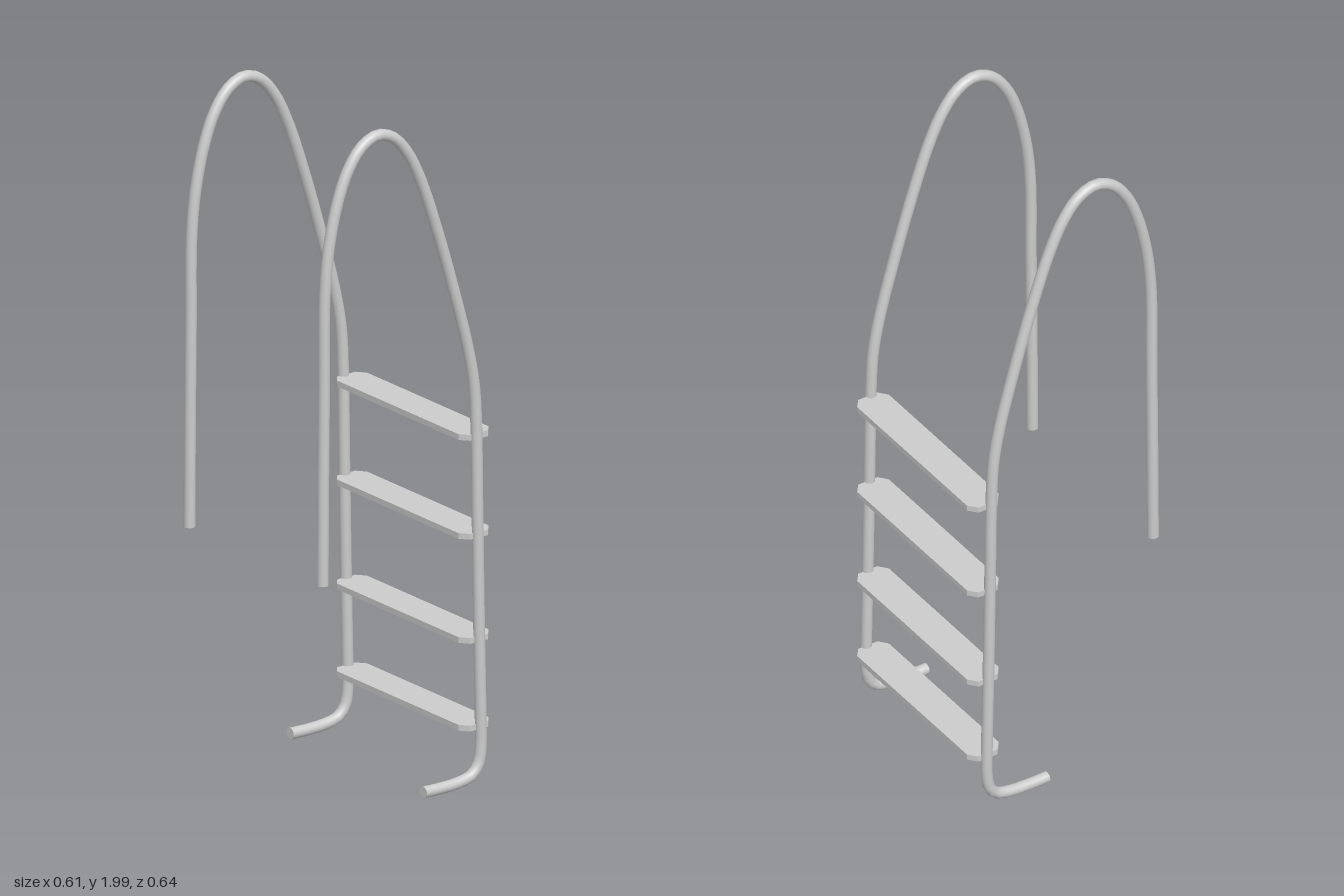
import * as THREE from 'three';

const R = 0.0165, RAIL_Z = 0.302;

// Side rail: a bent tube, straight at the legs, arched on top, hooked at the foot
function railGeometry() {
  const path = new THREE.CatmullRomCurve3([
    [-0.292, 0.706], [-0.29, 1.0], [-0.287, 1.3], [-0.285, 1.55], [-0.271, 1.685],
    [-0.242, 1.81], [-0.205, 1.9], [-0.155, 1.962], [-0.1, 1.9835], [-0.045, 1.963],
    [0.005, 1.905], [0.05, 1.815], [0.107, 1.655], [0.165, 1.465], [0.215, 1.28],
    [0.235, 1.17], [0.242, 1.05], [0.246, 0.8], [0.252, 0.45], [0.257, 0.2],
    [0.257, 0.11], [0.249, 0.064], [0.226, 0.036], [0.18, 0.024], [0.12, 0.021], [0.058, 0.022],
  ].map(([x, y]) => new THREE.Vector3(x, y, 0)), false, 'centripetal');
  return { path, geometry: new THREE.TubeGeometry(path, 150, R, 16) };
}

// Tread: flat plate with cut corners
function treadGeometry(thickness) {
  const x0 = 0.2, x1 = 0.305, z = 0.301, c = 0.021, d = 0.026;
  const shape = new THREE.Shape([
    [x0 + c, -z], [x1 - c, -z], [x1, -z + d], [x1, z - d],
    [x1 - c, z], [x0 + c, z], [x0, z - d], [x0, -z + d],
  ].map(([x, y]) => new THREE.Vector2(x, y)));
  return new THREE.ExtrudeGeometry(shape, { depth: thickness, bevelEnabled: false })
    .translate(0, 0, -thickness / 2)
    .rotateX(-Math.PI / 2);
}

export function createModel() {
  const model = new THREE.Group();
  model.name = 'poolLadder';
  const material = new THREE.MeshStandardMaterial({ color: 0xcccccc });
  const add = (parent, name, geometry) => {
    const mesh = new THREE.Mesh(geometry, material);
    mesh.name = name;
    parent.add(mesh);
    return mesh;
  };

  // Two matching rails with closed ends
  const { path, geometry } = railGeometry();
  const capGeometry = new THREE.CircleGeometry(R, 16);
  const forward = new THREE.Vector3(0, 0, 1);
  for (const [side, z] of [['front', RAIL_Z], ['back', -RAIL_Z]]) {
    const rail = new THREE.Group();
    rail.name = side + 'Rail';
    rail.position.z = z;
    add(rail, side + 'RailTube', geometry);
    for (const t of [0, 1]) {
      const cap = add(rail, side + (t ? 'FootCap' : 'AnchorCap'), capGeometry);
      const outward = path.getTangentAt(t).multiplyScalar(t ? 1 : -1);
      cap.position.copy(path.getPointAt(t));
      cap.quaternion.setFromUnitVectors(forward, outward);
    }
    model.add(rail);
  }

  // Four treads between the rails
  const tread = treadGeometry(0.017);
  [0.173, 0.43, 0.735, 1.025].forEach((y, i) => {
    add(model, 'tread' + (i + 1), tread).position.y = y;
  });
  return model;
}
